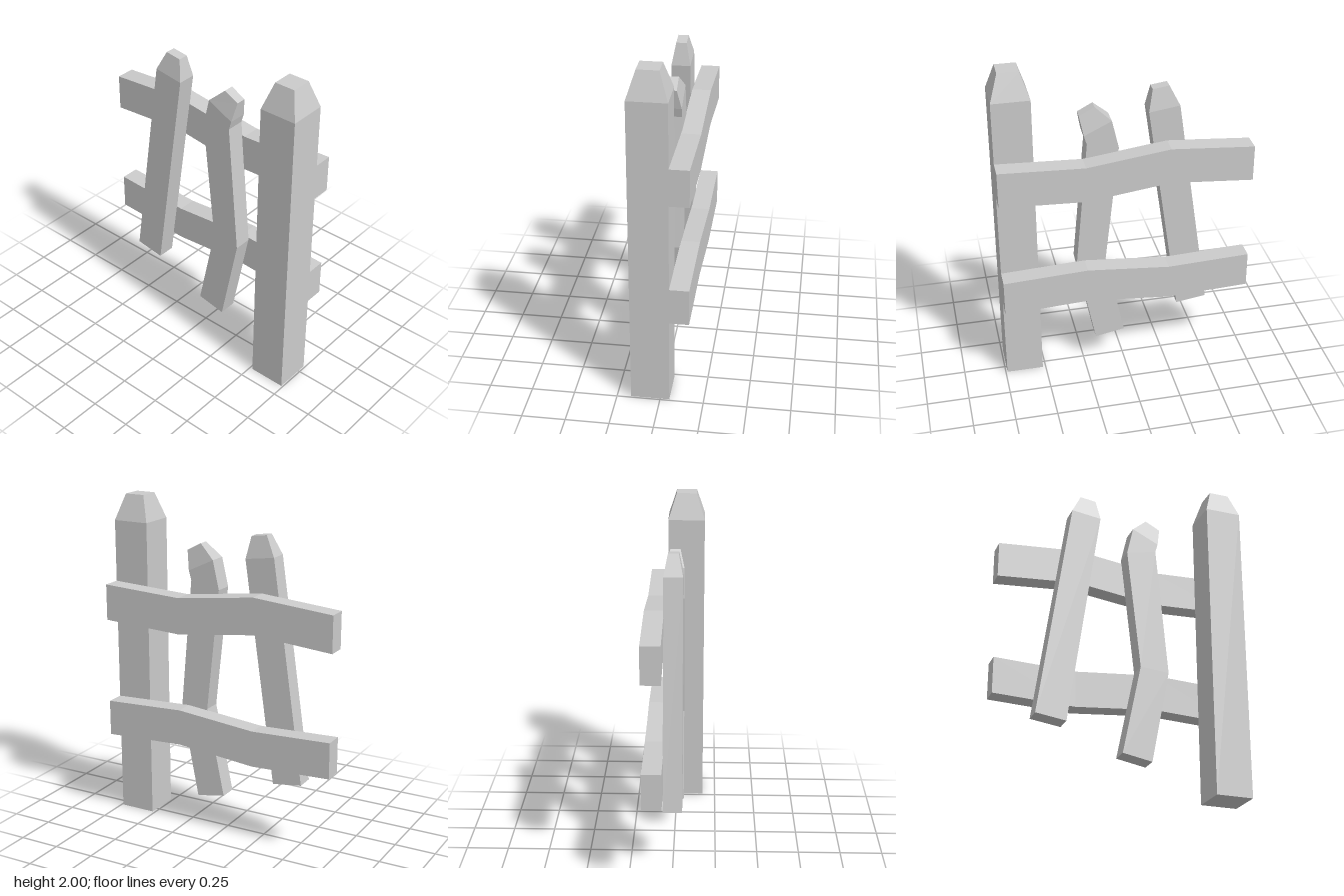
import * as THREE from 'three';

// Lofts a four-sided beam through sections [zA, yA, zB, yB, halfWidth]:
// two points in the side plane, spread by halfWidth in x around cx.
function beam(name, cx, sections) {
  const rings = sections.map(([zA, yA, zB, yB, h]) => [
    [cx - h, yA, zA], [cx + h, yA, zA], [cx + h, yB, zB], [cx - h, yB, zB],
  ]);
  const positions = [];
  const quad = (a, b, c, d) => positions.push(...a, ...b, ...c, ...a, ...c, ...d);
  for (let i = 0; i < rings.length - 1; i++) {
    const lo = rings[i], hi = rings[i + 1];
    for (let k = 0; k < 4; k++) {
      const n = (k + 1) % 4;
      quad(lo[k], lo[n], hi[n], hi[k]);
    }
  }
  const first = rings[0], last = rings[rings.length - 1];
  quad(first[3], first[2], first[1], first[0]);
  quad(last[0], last[1], last[2], last[3]);

  const geometry = new THREE.BufferGeometry();
  geometry.setAttribute('position', new THREE.Float32BufferAttribute(positions, 3));
  geometry.computeVertexNormals();
  const material = new THREE.MeshStandardMaterial({ color: 0xcccccc, flatShading: true });
  const mesh = new THREE.Mesh(geometry, material);
  mesh.name = name;
  return mesh;
}

// Crooked rail running front to back through [z, top y] points
function rail(name, points) {
  return beam(name, 0.109, points.map(([z, y]) => [z, y, z, y - 0.218, 0.056]));
}

export function createModel() {
  const group = new THREE.Group();
  group.name = 'brokenFence';

  // Square post with a tapered top
  group.add(beam('post', -0.058, [
    [0.74, 0, 0.518, 0, 0.111],
    [0.74, 1.845, 0.518, 1.845, 0.111],
    [0.69, 2, 0.568, 2, 0.061],
  ]));

  // Two wavy rails
  group.add(rail('upperRail', [[0.74, 1.475], [0.24, 1.452], [-0.25, 1.515], [-0.74, 1.476]]));
  group.add(rail('lowerRail', [[0.74, 0.74], [0.24, 0.764], [-0.25, 0.719], [-0.74, 0.739]]));

  // Bent picket with its head knocked sideways
  group.add(beam('bentPicket', 0, [
    [0.178, 0.187, 0, 0.22, 0.055],
    [0.287, 0.745, 0.112, 0.76, 0.055],
    [0.214, 1.54, 0.03, 1.5, 0.055],
    [0.23, 1.595, 0.069, 1.672, 0.055],
    [0.252, 1.711, 0.163, 1.758, 0.03],
  ]));

  // Straight leaning picket
  group.add(beam('leaningPicket', 0, [
    [-0.334, 0.368, -0.516, 0.394, 0.055],
    [-0.143, 1.702, -0.323, 1.727, 0.055],
    [-0.168, 1.832, -0.264, 1.845, 0.03],
  ]));

  return group;
}
